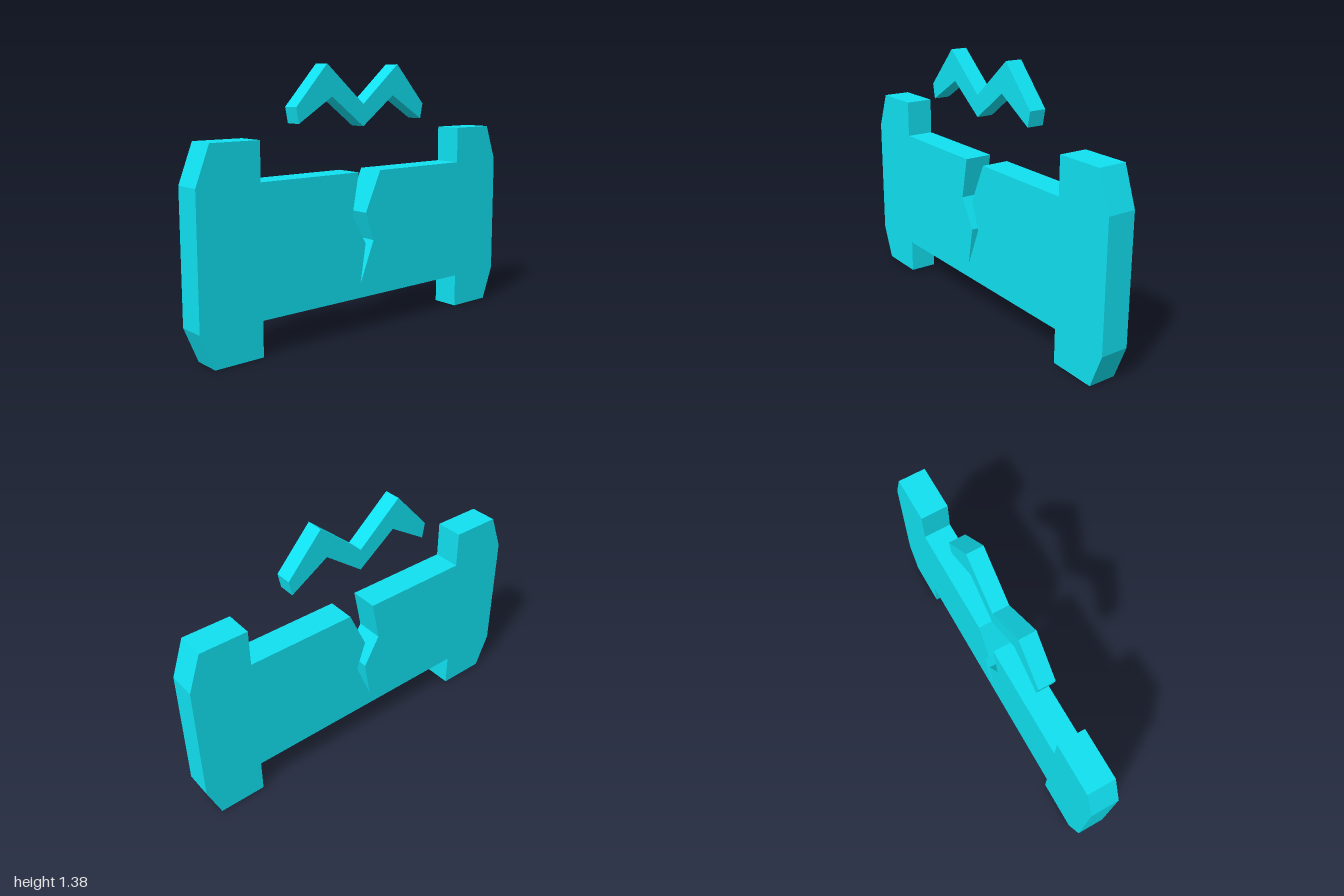
import * as THREE from 'three';

const material = new THREE.MeshStandardMaterial({ color: 0x10e0f0, flatShading: true });

// Flat outline extruded symmetrically about z = 0
function slab(name, outline, depth) {
  const shape = new THREE.Shape(outline.map(([x, y]) => new THREE.Vector2(x, y)));
  const geometry = new THREE.ExtrudeGeometry(shape, { depth, bevelEnabled: false });
  geometry.translate(0, 0, -depth / 2);
  const mesh = new THREE.Mesh(geometry, material);
  mesh.name = name;
  return mesh;
}

export function createModel() {
  const group = new THREE.Group();
  group.name = 'crackedPlate';

  // Plate with chamfered end flanges and a jagged crack from the top edge
  const leftEnd = [[-0.66, 0.18], [-0.66, 0], [-0.925, 0], [-1, 0.18],
    [-1, 0.84], [-0.925, 1.035], [-0.66, 1.035], [-0.66, 0.84]];
  const crack = [[-0.063, 0.84], [-0.105, 0.62], [-0.015, 0.465], [-0.05, 0.255],
    [0.04, 0.475], [-0.013, 0.625], [0.085, 0.84]];
  const rightEnd = [[0.677, 0.84], [0.677, 1.035], [0.93, 1.035], [1, 0.84],
    [1, 0.18], [0.93, 0], [0.677, 0], [0.677, 0.18]];
  group.add(slab('plate', [...leftEnd, ...crack, ...rightEnd], 0.15));

  // Floating zigzag above the plate
  group.add(slab('zigzag', [[-0.43, 1.177], [-0.24, 1.385], [-0.005, 1.183], [0.232, 1.385],
    [0.422, 1.177], [0.406, 1.097], [0.2, 1.224], [-0.005, 1.07],
    [-0.21, 1.224], [-0.415, 1.097]], 0.09));

  return group;
}
